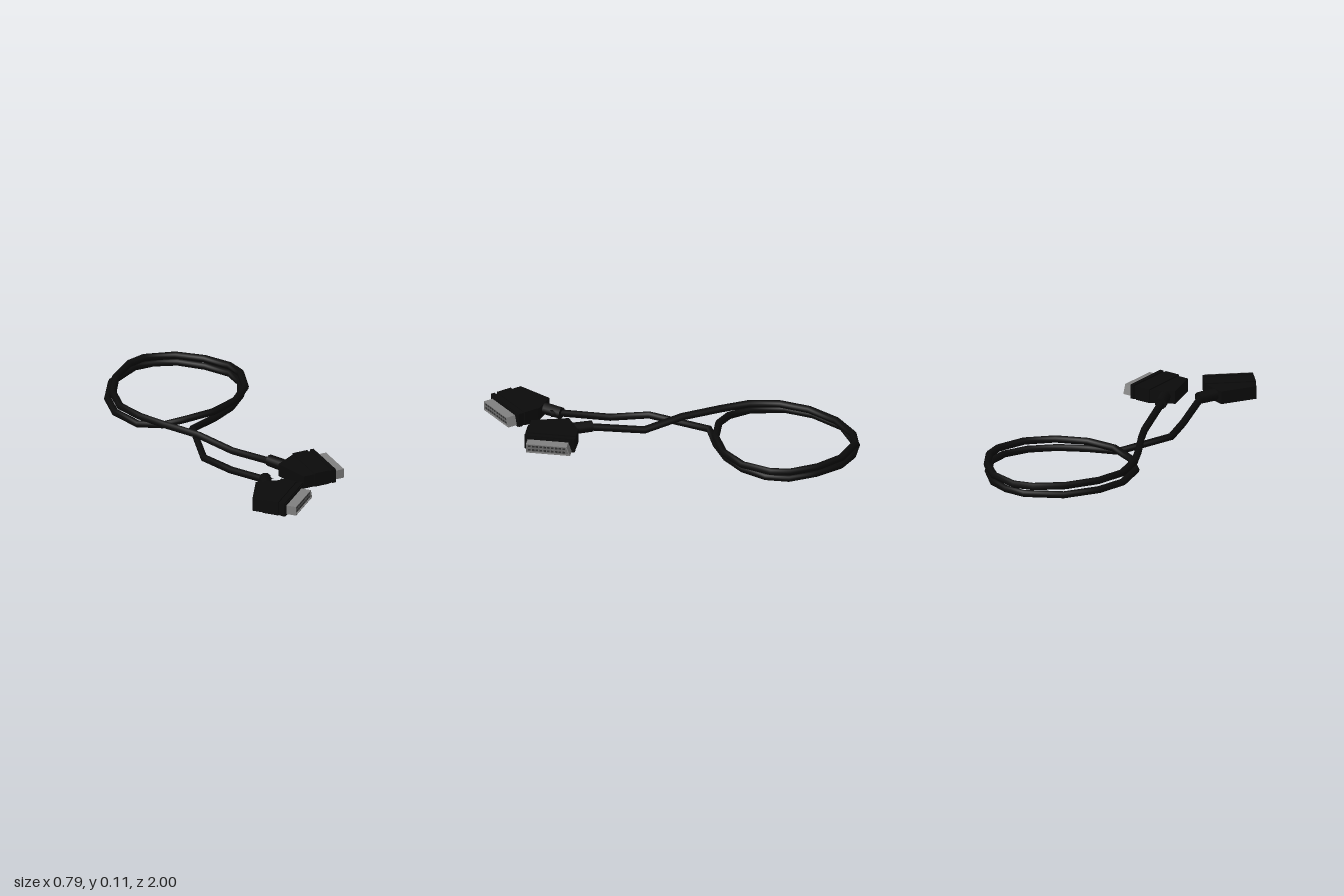
import * as THREE from 'three';

const black = new THREE.MeshStandardMaterial({ color: 0x0b0b0b });
black.name = 'black plastic';
const steel = new THREE.MeshStandardMaterial({ color: 0x808080 });
steel.name = 'steel shell';
const grey = new THREE.MeshStandardMaterial({ color: 0x686868 });
grey.name = 'contact grey';
const dark = new THREE.MeshStandardMaterial({ color: 0x303030 });
dark.name = 'slot dark';

function add(parent, name, geometry, material, x = 0, y = 0, z = 0) {
  const mesh = new THREE.Mesh(geometry, material);
  mesh.name = name;
  mesh.position.set(x, y, z);
  parent.add(mesh);
  return mesh;
}

const makeShape = (pts) => new THREE.Shape(pts.map(([x, y]) => new THREE.Vector2(x, y)));

// Straight-segment path with mitred corners, one tube ring per point
class Polyline extends THREE.Curve {
  constructor(points) {
    super();
    this.points = points.map((p) => new THREE.Vector3(...p));
  }
  getPoint(t) {
    const n = this.points.length - 1;
    const i = Math.min(Math.floor(t * n + 1e-6), n - 1);
    return this.points[i].clone().lerp(this.points[i + 1], t * n - i);
  }
  getPointAt(t) { return this.getPoint(t); }
  getTangentAt(t) {
    const p = this.points, n = p.length - 1, i = Math.round(t * n);
    const out = new THREE.Vector3();
    if (i > 0) out.add(p[i].clone().sub(p[i - 1]).normalize());
    if (i < n) out.add(p[i + 1].clone().sub(p[i]).normalize());
    return out.normalize();
  }
}

// Outline of the metal shell, slanted at one end
const shellOutline = (inset) => [
  [-0.115 + inset, 0.036 + inset], [0.118 - inset * 1.3, 0.036 + inset],
  [0.1 - inset, 0.086 - inset], [-0.115 + inset, 0.086 - inset],
];

// Plug: mating face points to +x, centre of its front edge at the origin
function createPlug(name) {
  const plug = new THREE.Group();
  plug.name = name;

  // Angled housing
  const body = new THREE.ExtrudeGeometry(makeShape([
    [-0.24, 0.062], [-0.13, 0.127], [0, 0.127], [0, -0.128], [-0.185, -0.128],
  ]), { depth: 0.07, bevelEnabled: false });
  body.rotateX(-Math.PI / 2);
  add(plug, 'housing', body, black, 0, 0.029, 0);

  // Raised grip panel and rim rib
  add(plug, 'gripPanel', new THREE.BoxGeometry(0.085, 0.077, 0.266), black, -0.0825, 0.0675, 0);
  add(plug, 'rimRib', new THREE.BoxGeometry(0.02, 0.077, 0.266), black, -0.014, 0.0675, 0);

  // Cable boot
  const from = new THREE.Vector3(-0.235, 0.066, -0.185);
  const to = new THREE.Vector3(-0.17, 0.066, -0.045);
  const axis = to.clone().sub(from);
  const boot = add(plug, 'cableBoot', new THREE.CylinderGeometry(0.033, 0.031, axis.length(), 10), black);
  boot.position.copy(from).add(to).multiplyScalar(0.5);
  boot.quaternion.setFromUnitVectors(new THREE.Vector3(0, 1, 0), axis.normalize());

  // Metal shell around a slightly recessed contact block
  const rim = makeShape(shellOutline(0));
  rim.holes.push(makeShape(shellOutline(0.004)));
  const shell = new THREE.ExtrudeGeometry(rim, { depth: 0.06, bevelEnabled: false });
  shell.rotateY(Math.PI / 2);
  add(plug, 'metalShell', shell, steel, -0.007, 0, 0);
  const block = new THREE.ExtrudeGeometry(makeShape(shellOutline(0.004)), { depth: 0.054, bevelEnabled: false });
  block.rotateY(Math.PI / 2);
  add(plug, 'contactBlock', block, grey, -0.007, 0, 0);

  // Two rows of contact slots
  const slot = new THREE.BoxGeometry(0.003, 0.009, 0.013);
  for (const y of [0.051, 0.071]) {
    for (let i = 0; i < 10; i++) add(plug, 'contactSlot', slot, dark, 0.047, y, -0.084 + i * 0.0203);
  }
  return plug;
}

export function createModel() {
  const model = new THREE.Group();
  model.name = 'coiledCable';

  // Cable: lead, lower turn, upper turn, lead
  const path = [
    [-0.04, 0.066, 0.64], [-0.065, 0.062, 0.585], [-0.135, 0.022, 0.34], [-0.198, 0.02, 0.145], [-0.1, 0.02, -0.19],
    [0.05, 0.02, -0.25], [0.19, 0.02, -0.33], [0.3, 0.02, -0.44], [0.36, 0.02, -0.57], [0.358, 0.02, -0.69],
    [0.28, 0.02, -0.82], [0.17, 0.02, -0.93], [0.05, 0.02, -0.975], [-0.06, 0.02, -0.975], [-0.24, 0.02, -0.87],
    [-0.345, 0.02, -0.7], [-0.38, 0.02, -0.54], [-0.335, 0.022, -0.36], [-0.235, 0.035, -0.27], [-0.11, 0.056, -0.24],
    [0.05, 0.06, -0.25], [0.21, 0.06, -0.32], [0.325, 0.06, -0.44], [0.375, 0.06, -0.6], [0.36, 0.06, -0.7],
    [0.28, 0.06, -0.83], [0.16, 0.06, -0.935], [0, 0.06, -0.98], [-0.1, 0.06, -0.95], [-0.23, 0.06, -0.84],
    [-0.325, 0.06, -0.68], [-0.36, 0.06, -0.52], [-0.325, 0.065, -0.36], [-0.25, 0.062, -0.22], [-0.14, 0.058, -0.04],
    [-0.03, 0.022, 0.14], [0.058, 0.062, 0.41], [0.08, 0.066, 0.46],
  ];
  add(model, 'cable', new THREE.TubeGeometry(new Polyline(path), path.length - 1, 0.0195, 8, false), black);

  // Plugs at both ends
  const sidePlug = createPlug('sidePlug');
  sidePlug.position.set(0.29, 0, 0.587);
  const frontPlug = createPlug('frontPlug');
  frontPlug.position.set(-0.03, 0, 0.88);
  frontPlug.rotation.y = -0.82;
  model.add(sidePlug, frontPlug);

  return model;
}
